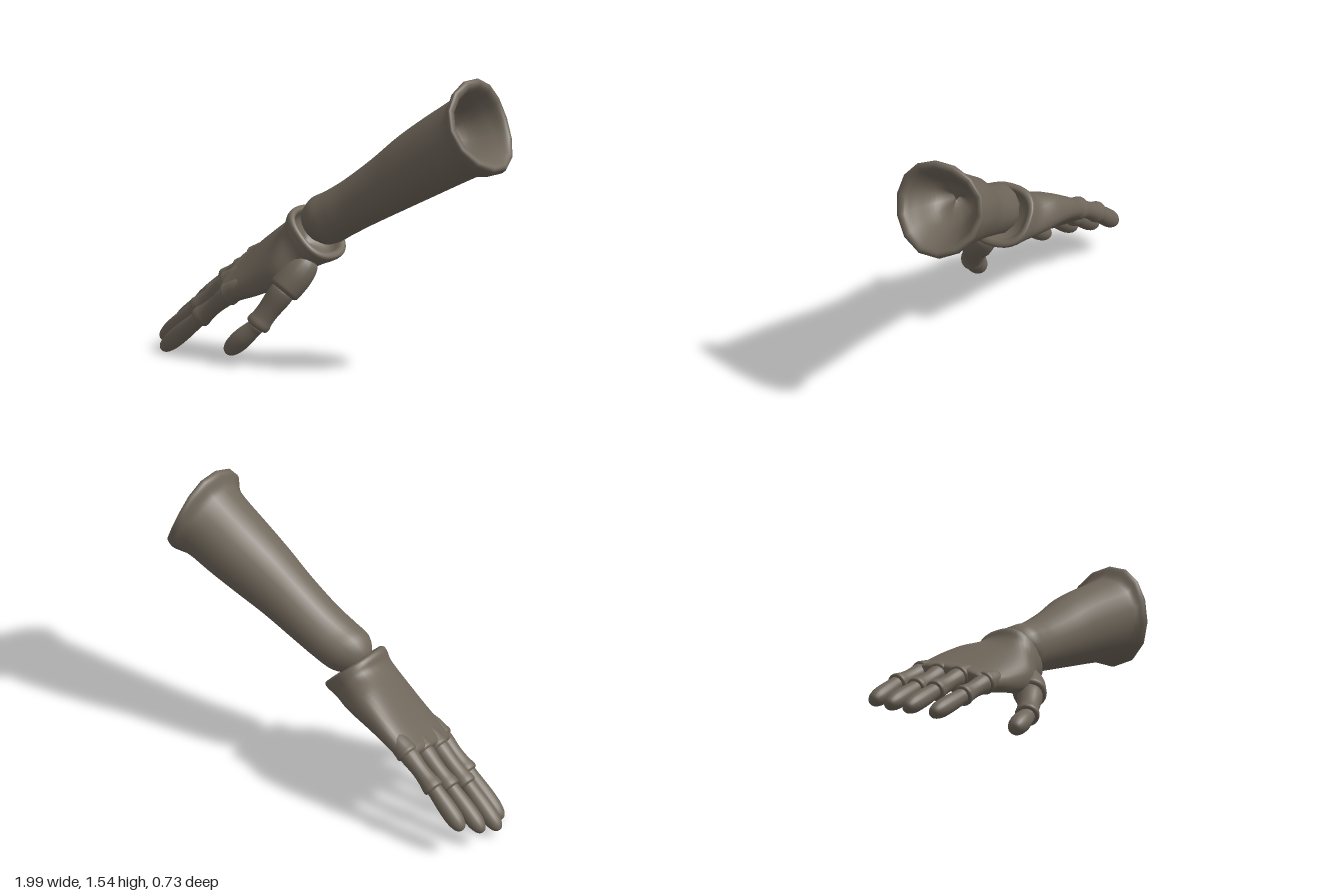
import * as THREE from 'three';

const V = (x, y, z) => new THREE.Vector3(x, y, z);
const skin = new THREE.MeshStandardMaterial({ color: 0x70675b });
skin.name = 'taupe';

function part(name, geometry) {
  const mesh = new THREE.Mesh(geometry, skin);
  mesh.name = name;
  return mesh;
}

// Smooth tube through elliptical sections { c: centre, w: half width, n: half height }
// shape(u, angle) returns the two section coordinates; bow shifts the sides in x.
function loft(sections, rows, cols, shape, bow = () => 0) {
  const curve = key => new THREE.CatmullRomCurve3(sections.map(s => s[key]), false, 'catmullrom', 0.5);
  const [C, W, N] = ['c', 'w', 'n'].map(curve);
  const pos = [], index = [];
  for (let i = 0; i <= rows; i++) {
    const u = i / rows, c = C.getPoint(u), w = W.getPoint(u), n = N.getPoint(u);
    for (let j = 0; j < cols; j++) {
      const a = (j / cols) * Math.PI * 2, [p, q] = shape(u, a);
      const v = c.clone().addScaledVector(w, p).addScaledVector(n, q);
      v.x -= bow(u) * Math.cos(a) ** 2;
      pos.push(v.x, v.y, v.z);
      if (i < rows) {
        const k = (j + 1) % cols, A = i * cols + j, B = i * cols + k;
        index.push(A, B, A + cols, B, B + cols, A + cols);
      }
    }
  }
  const g = new THREE.BufferGeometry();
  g.setAttribute('position', new THREE.Float32BufferAttribute(pos, 3));
  g.setIndex(index);
  g.computeVertexNormals();
  return g;
}

// Turned segment from a to b; profile holds [radius, fraction of length]
function segment(name, a, b, profile) {
  const dir = b.clone().sub(a), len = dir.length();
  const spline = new THREE.SplineCurve(profile.map(([r, t]) => new THREE.Vector2(r, t * len)));
  const pts = spline.getPoints(profile.length * 4);
  pts.forEach(p => { p.x = Math.max(p.x, 0); });
  const mesh = part(name, new THREE.LatheGeometry(pts, 20));
  mesh.position.copy(a);
  mesh.quaternion.setFromUnitVectors(V(0, 1, 0), dir.normalize());
  return mesh;
}

// Forearm: [top x, top y, bottom x, bottom y, back z, front z], wrist to hollow elbow
function forearm() {
  const rows = [
    [-0.12, 0.69, -0.119, 0.689, 0.02, 0.021],
    [-0.14, 0.78, -0.05, 0.64, -0.05, 0.1],
    [-0.09, 0.86, 0.04, 0.63, -0.11, 0.155],
    [0.0, 0.91, 0.13, 0.68, -0.14, 0.148],
    [0.1, 0.975, 0.25, 0.745, -0.165, 0.13],
    [0.25, 1.09, 0.42, 0.83, -0.2, 0.117],
    [0.4, 1.22, 0.58, 0.91, -0.25, 0.11],
    [0.55, 1.33, 0.72, 0.98, -0.29, 0.105],
    [0.7, 1.43, 0.85, 1.04, -0.315, 0.102],
    [0.755, 1.475, 0.905, 1.046, -0.332, 0.11],
    [0.785, 1.535, 0.96, 1.055, -0.36, 0.13],
    [0.815, 1.545, 0.995, 1.085, -0.362, 0.13],
    [0.825, 1.51, 0.98, 1.115, -0.33, 0.09],
    [0.77, 1.44, 0.9, 1.14, -0.295, 0.06],
    [0.68, 1.34, 0.76, 1.15, -0.22, 0.0],
    [0.65, 1.22, 0.651, 1.219, -0.1, -0.099],
  ];
  const sections = rows.map(([tx, ty, bx, by, z0, z1]) => ({
    c: V((tx + bx) / 2, (ty + by) / 2, (z0 + z1) / 2),
    w: V(0, 0, (z0 - z1) / 2),
    n: V((tx - bx) / 2, (ty - by) / 2, 0),
  }));
  const bow = u => 0.05 * THREE.MathUtils.smoothstep(u, 0.5, 0.75);
  return part('forearm', loft(sections, 75, 14, (u, a) => [Math.cos(a), Math.sin(a)], bow));
}

// Palm: wrist socket, rolled cuff, then the tilted hand out to the knuckles
function palm() {
  const rows = [
    [-0.15, 0.62, 0.015, 0, 0, 0.001, 0, 0.001, 0],
    [-0.11, 0.65, 0.015, 0, 0, 0.11, -0.07, 0.08, 0],
    [-0.065, 0.69, 0.015, 0, 0, 0.142, -0.09, 0.1, 0],
    [-0.063, 0.688, 0.015, 0, -0.005, 0.168, -0.112, 0.122, 0],
    [-0.085, 0.668, 0.015, 0, -0.01, 0.175, -0.112, 0.127, 0],
    [-0.13, 0.63, 0.015, 0.015, -0.035, 0.185, -0.09, 0.115, 0.01],
    [-0.22, 0.565, 0.015, 0.05, -0.09, 0.225, -0.075, 0.105, 0.03],
    [-0.37, 0.49, 0.015, 0.05, -0.1, 0.235, -0.055, 0.08, 0.025],
    [-0.48, 0.435, 0.015, 0.046, -0.092, 0.23, -0.043, 0.062, 0.025],
    [-0.55, 0.4, 0.015, 0.042, -0.085, 0.22, -0.04, 0.056, 0.022],
    [-0.57, 0.385, 0.015, 0.038, -0.075, 0.2, -0.025, 0.036, 0.014],
    [-0.57, 0.385, 0.015, 0, 0, 0.001, 0, 0.001, 0],
  ];
  const sections = rows.map(r => ({ c: V(...r.slice(0, 3)), w: V(...r.slice(3, 6)), n: V(...r.slice(6)) }));
  const soft = v => Math.sign(v) * Math.abs(v) ** 0.82;
  const shape = (u, a) => {
    const p = soft(Math.cos(a));
    let q = soft(Math.sin(a));
    // Hollow of the palm on the underside
    if (q < 0) q *= 1 - 0.35 * (1 - p * p) * Math.exp(-(((u - 0.64) / 0.13) ** 2));
    return [p, q];
  };
  return part('palm', loft(sections, 66, 36, shape));
}

const PROXIMAL = [[0, -0.08], [0.04, -0.04], [0.05, 0.08], [0.044, 0.45], [0.047, 0.75], [0.054, 0.93], [0.052, 1.02], [0.03, 1.06], [0, 1.06]];
const DISTAL = [[0, -0.06], [0.037, -0.02], [0.042, 0.15], [0.047, 0.5], [0.045, 0.78], [0.034, 0.95], [0.018, 1.03], [0, 1.05]];

// Fingers: knuckle, middle joint and tip
const FINGERS = {
  indexFinger: [V(-0.5, 0.34, 0.195), V(-0.675, 0.205, 0.197), V(-0.905, 0.025, 0.195)],
  middleFinger: [V(-0.575, 0.38, 0.085), V(-0.765, 0.235, 0.087), V(-0.985, 0.058, 0.085)],
  ringFinger: [V(-0.585, 0.43, -0.04), V(-0.765, 0.288, -0.04), V(-0.982, 0.115, -0.04)],
  littleFinger: [V(-0.58, 0.478, -0.16), V(-0.765, 0.35, -0.167), V(-0.955, 0.185, -0.167)],
};

function finger(name, [knuckle, joint, tip]) {
  const g = new THREE.Group();
  g.name = name;
  // Raised knuckle running back into the hand
  const back = knuckle.clone().add(V(0.14, 0.085, 0));
  const knob = [[0, 0], [0.03, 0.1], [0.05, 0.45], [0.058, 0.85], [0.06, 1.0], [0.045, 1.08], [0, 1.09]];
  g.add(segment('knuckle', back, knuckle, knob));
  g.add(segment('proximalSegment', knuckle, joint, PROXIMAL));
  g.add(segment('fingertip', joint, tip, DISTAL));
  return g;
}

function thumb() {
  const g = new THREE.Group();
  g.name = 'thumb';
  const root = V(-0.07, 0.53, 0.12), base = V(-0.145, 0.4, 0.205), joint = V(-0.26, 0.215, 0.28), tip = V(-0.415, 0.07, 0.325);
  g.add(segment('thumbMound', root, base, [[0, -0.3], [0.06, -0.15], [0.085, 0.3], [0.087, 0.85], [0.08, 1.02], [0.05, 1.08], [0, 1.09]]));
  g.add(segment('proximalSegment', base, joint,
    [[0, -0.06], [0.055, -0.03], [0.066, 0.15], [0.058, 0.55], [0.058, 0.78], [0.064, 0.93], [0.058, 1.02], [0.03, 1.05], [0, 1.05]]));
  g.add(segment('fingertip', joint, tip,
    [[0, -0.06], [0.04, -0.02], [0.045, 0.15], [0.053, 0.5], [0.048, 0.78], [0.035, 0.95], [0.018, 1.03], [0, 1.05]]));
  return g;
}

export function createModel() {
  const model = new THREE.Group();
  model.name = 'jointedArm';
  model.add(forearm(), palm(), thumb());
  for (const [name, points] of Object.entries(FINGERS)) model.add(finger(name, points));
  return model;
}
